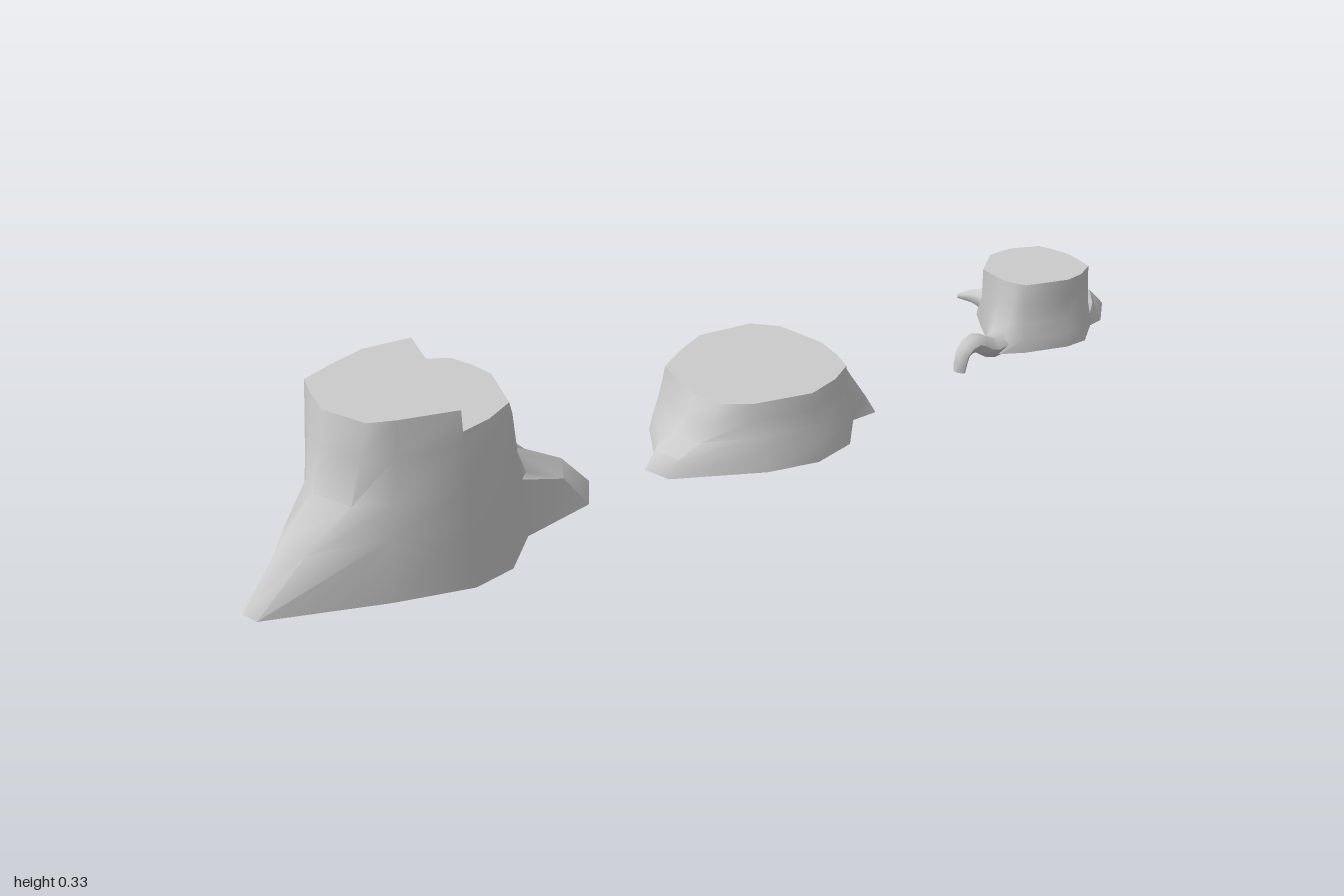
import * as THREE from 'three';
import { toCreasedNormals } from 'three/addons/utils/BufferGeometryUtils.js';

const GROUND = 0.02;
const material = new THREE.MeshStandardMaterial({ color: 0xcccccc, side: THREE.DoubleSide });

function addMesh(parent, name, geometry) {
  const mesh = new THREE.Mesh(geometry, material);
  mesh.name = name;
  parent.add(mesh);
}

function makeGeometry(positions, index) {
  const g = new THREE.BufferGeometry();
  g.setAttribute('position', new THREE.Float32BufferAttribute(positions, 3));
  g.setIndex(index);
  g.computeVertexNormals();
  return g;
}

// flat convex face, corners listed clockwise as seen from its front
function flatFace(points) {
  const index = [];
  for (let i = 1; i < points.length - 1; i++) index.push(0, i + 1, i);
  return makeGeometry(points.flat(), index);
}

// Bark wall: every column runs from a base point out on the roots up to a rim point.
// column: [base x, base z, rim x, rim z, profile, rim height]
// profile: [height fraction, outward fraction] between base and rim
function barkWall(columns, profiles, top) {
  const positions = [], index = [], n = columns.length, rows = 5;
  for (const [bx, bz, tx, tz, kind = 's', rim = top] of columns) {
    for (const [h, w] of [[0, 1], ...profiles[kind], [1, 0]]) {
      const y = h === 1 ? rim : GROUND + h * (top - GROUND);
      positions.push(tx + (bx - tx) * w, y, tz + (bz - tz) * w);
    }
  }
  for (let i = 0; i < n; i++) {
    for (let r = 0; r < rows - 1; r++) {
      const a = i * rows + r, b = ((i + 1) % n) * rows + r;
      index.push(b, a, a + 1, b, a + 1, b + 1);
    }
  }
  return toCreasedNormals(makeGeometry(positions, index), 0.9);
}

const rimPoints = (columns, top) => columns.map(c => [c[2], c[5] ?? top, c[3]]);

// root that tapers along a curve
function taperedRoot(points, r0, r1) {
  const curve = new THREE.CatmullRomCurve3(points.map(p => new THREE.Vector3(...p)));
  const segments = 10, sides = 6;
  const g = new THREE.TubeGeometry(curve, segments, 1, sides);
  const pos = g.attributes.position, v = new THREE.Vector3();
  for (let i = 0; i < pos.count; i++) {
    const t = Math.floor(i / (sides + 1)) / segments;
    const c = curve.getPointAt(t);
    v.fromBufferAttribute(pos, i).sub(c).multiplyScalar(r0 + (r1 - r0) * t).add(c);
    pos.setXYZ(i, v.x, v.y, v.z);
  }
  g.computeVertexNormals();
  return g;
}

function tallStump() {
  const group = new THREE.Group(), top = 0.335, low = 0.295;
  group.name = 'tallStump';
  const columns = [
    [0, 0.30, 0, 0.49, 'b', low], [0.07, 0.345, 0.055, 0.505, 'b', low],
    [0.10, 0.49, 0.11, 0.52, 's', low], [0.175, 0.565, 0.14, 0.575, 's', low],
    [0.19, 0.645, 0.155, 0.635, 's', low], [0.19, 0.645, 0.155, 0.635],
    [0.15, 0.78, 0.125, 0.735], [0.07, 0.985, 0.105, 0.78, 'f'],
    [0.035, 0.995, 0.02, 0.815, 'f'], [-0.01, 0.94, -0.04, 0.805, 'f'],
    [-0.095, 0.815, -0.095, 0.79], [-0.17, 0.75, -0.12, 0.725],
    [-0.195, 0.64, -0.14, 0.66], [-0.165, 0.545, -0.13, 0.57],
    [-0.165, 0.545, -0.13, 0.57, 's', low], [-0.095, 0.49, -0.09, 0.515, 's', low],
    [-0.075, 0.345, -0.05, 0.50, 'b', low],
  ];
  const profiles = {
    s: [[0.37, 0.72], [0.55, 0.47], [0.8, 0.2]],
    f: [[0.32, 0.56], [0.54, 0.17], [0.8, 0.07]],
    b: [[0.21, 0.7], [0.32, 0.25], [0.48, 0.04]],
  };
  addMesh(group, 'bark', barkWall(columns, profiles, top));
  const rim = rimPoints(columns, top);
  addMesh(group, 'upperCut', flatFace(rim.slice(5, 14)));
  addMesh(group, 'lowerCut', flatFace([...rim.slice(14), ...rim.slice(0, 5)]));
  // upright step between the two saw cuts
  addMesh(group, 'cutStep', flatFace([rim[5], rim[4], rim[14], rim[13]]));
  return group;
}

function wideStump() {
  const group = new THREE.Group(), top = 0.145;
  group.name = 'wideStump';
  const columns = [
    [0, -0.325, 0, -0.235, 'b'], [0.10, -0.29, 0.06, -0.225, 'b'],
    [0.10, -0.235, 0.105, -0.21], [0.17, -0.17, 0.135, -0.16],
    [0.19, -0.08, 0.155, -0.09], [0.165, 0.02, 0.125, 0.025],
    [0.08, 0.18, 0.09, 0.07, 'f'], [0.025, 0.195, 0.03, 0.085, 'f'],
    [-0.01, 0.15, -0.01, 0.085, 'f'], [-0.10, 0.10, -0.095, 0.065],
    [-0.165, 0.03, -0.135, 0], [-0.195, -0.08, -0.165, -0.065],
    [-0.16, -0.18, -0.15, -0.175], [-0.095, -0.235, -0.105, -0.215],
    [-0.095, -0.285, -0.055, -0.225, 'b'],
  ];
  const profiles = {
    s: [[0.3, 0.7], [0.5, 0.45], [0.75, 0.2]],
    f: [[0.27, 0.8], [0.45, 0.4], [0.7, 0.2]],
    b: [[0.3, 0.72], [0.6, 0.4], [0.8, 0.2]],
  };
  addMesh(group, 'bark', barkWall(columns, profiles, top));
  addMesh(group, 'sawCut', flatFace(rimPoints(columns, top)));
  return group;
}

function smallStump() {
  const group = new THREE.Group(), top = 0.16;
  group.name = 'smallStump';
  const columns = [
    [0, -1, 0, -0.89, 'b'], [0.06, -0.935, 0.035, -0.886, 'b'],
    [0.065, -0.90, 0.065, -0.88], [0.11, -0.84, 0.085, -0.84],
    [0.11, -0.79, 0.09, -0.80], [0.08, -0.70, 0.06, -0.71],
    [0.055, -0.655, 0.04, -0.70], [0.015, -0.65, 0.015, -0.69],
    [-0.02, -0.685, -0.02, -0.692], [-0.07, -0.715, -0.05, -0.695],
    [-0.115, -0.745, -0.095, -0.755], [-0.125, -0.785, -0.097, -0.785],
    [-0.115, -0.80, -0.095, -0.815], [-0.105, -0.855, -0.07, -0.87],
    [-0.05, -0.90, -0.045, -0.88], [-0.05, -0.935, -0.03, -0.884, 'b'],
  ];
  const profiles = {
    s: [[0.2, 0.8], [0.4, 0.4], [0.7, 0.15]],
    b: [[0.3, 0.62], [0.33, 0.12], [0.5, 0.03]],
  };
  addMesh(group, 'bark', barkWall(columns, profiles, top));
  addMesh(group, 'sawCut', flatFace(rimPoints(columns, top)));
  addMesh(group, 'archedRoot', taperedRoot([
    [0.03, 0.045, -0.70], [0.038, 0.035, -0.64], [0.04, 0.058, -0.595],
    [0.043, 0.045, -0.565], [0.045, 0.006, -0.555]], 0.029, 0.013));
  addMesh(group, 'sideRoot', taperedRoot([
    [-0.07, 0.055, -0.765], [-0.13, 0.05, -0.76], [-0.182, 0.035, -0.755]], 0.032, 0.006));
  return group;
}

export function createModel() {
  const model = new THREE.Group();
  model.name = 'treeStumps';
  model.add(tallStump(), wideStump(), smallStump());
  return model;
}
